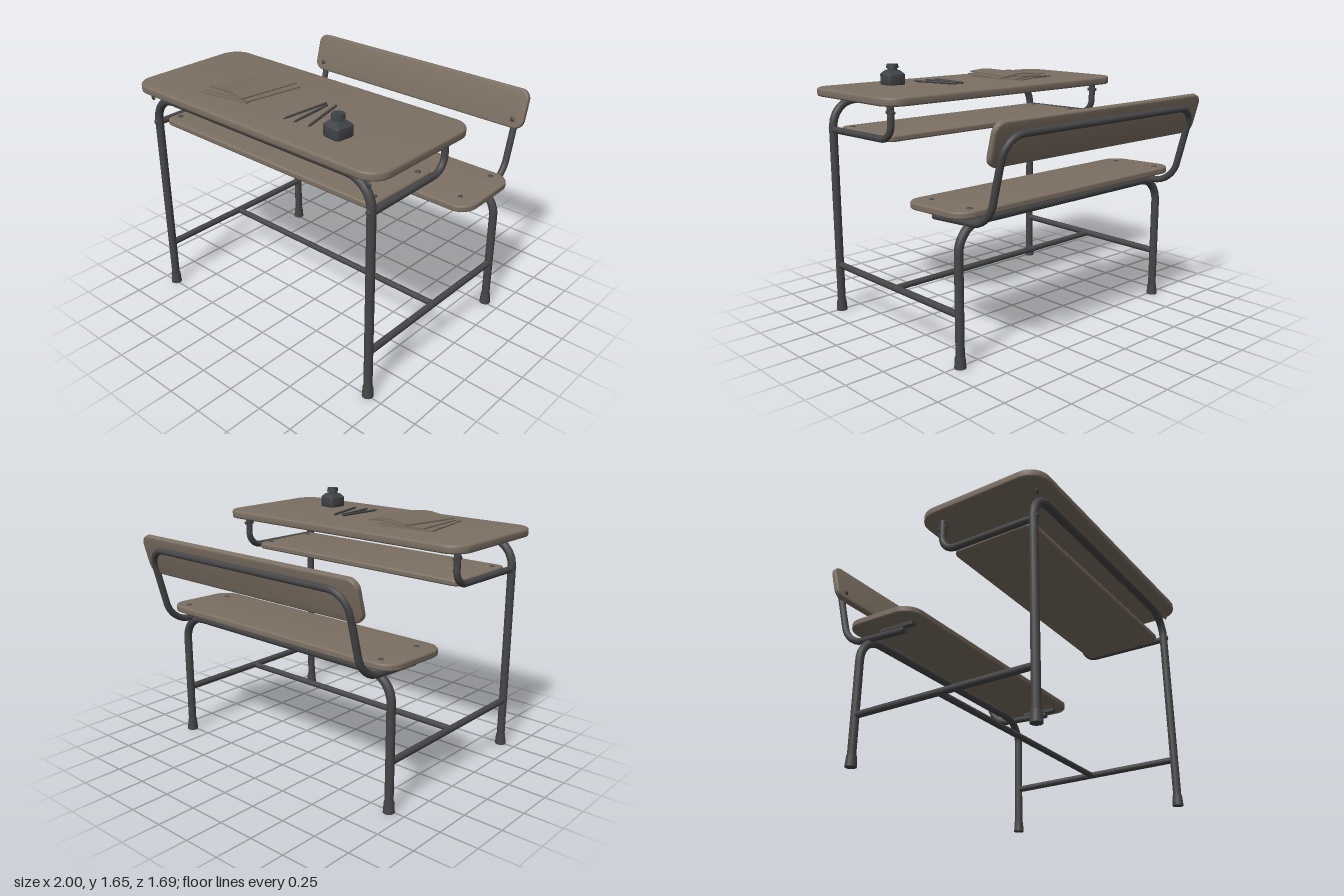
import * as THREE from 'three';
import { toCreasedNormals } from 'three/addons/utils/BufferGeometryUtils.js';

const V = (x, y, z) => new THREE.Vector3(x, y, z);

export function createModel() {
  const wood = new THREE.MeshStandardMaterial({ name: 'wood', color: 0x7d7063 });
  const metal = new THREE.MeshStandardMaterial({ name: 'dark metal', color: 0x464648 });
  const paper = new THREE.MeshStandardMaterial({ name: 'paper', color: 0x786d60 });
  const ink = new THREE.MeshStandardMaterial({ name: 'ink glass', color: 0x404346 });

  const root = new THREE.Group();
  root.name = 'schoolDesk';

  const add = (name, geometry, material, x = 0, y = 0, z = 0, parent = root) => {
    const mesh = new THREE.Mesh(geometry, material);
    mesh.name = name;
    mesh.position.set(x, y, z);
    parent.add(mesh);
    return mesh;
  };

  // Horizontal board with rounded corners and softened edges, centred on its origin
  const board = (w, d, t, r, bevel = 0.012) => {
    const a = w / 2 - bevel, b = d / 2 - bevel, c = r - bevel;
    const s = new THREE.Shape();
    s.moveTo(-a + c, -b);
    s.lineTo(a - c, -b);
    s.absarc(a - c, -b + c, c, -Math.PI / 2, 0);
    s.absarc(a - c, b - c, c, 0, Math.PI / 2);
    s.absarc(-a + c, b - c, c, Math.PI / 2, Math.PI);
    s.absarc(-a + c, -b + c, c, Math.PI, Math.PI * 1.5);
    const g = new THREE.ExtrudeGeometry(s, {
      depth: t - 2 * bevel, bevelEnabled: true, bevelSize: bevel,
      bevelThickness: bevel, bevelSegments: 3, curveSegments: 8,
    });
    g.translate(0, 0, bevel - t / 2).rotateX(-Math.PI / 2);
    return toCreasedNormals(g, 0.6);
  };

  // Bent pipe: straight runs joined by rounded bends, with closed ends
  const pipe = (name, pts, radius, bend) => {
    const group = new THREE.Group();
    group.name = name;
    const path = new THREE.CurvePath();
    let from = pts[0];
    for (let i = 1; i < pts.length - 1; i++) {
      const p = pts[i];
      const a = p.clone().add(pts[i - 1].clone().sub(p).setLength(bend));
      const b = p.clone().add(pts[i + 1].clone().sub(p).setLength(bend));
      const k = 0.55;
      path.add(new THREE.LineCurve3(from, a));
      path.add(new THREE.CubicBezierCurve3(a, a.clone().lerp(p, k), b.clone().lerp(p, k), b));
      from = b;
    }
    const last = pts[pts.length - 1];
    path.add(new THREE.LineCurve3(from, last));
    const steps = pts.length > 2 ? 100 : 1;
    add(name + 'Tube', new THREE.TubeGeometry(path, steps, radius, 14), metal, 0, 0, 0, group);
    [[pts[0], pts[1]], [last, pts[pts.length - 2]]].forEach(([end, next]) => {
      const cap = add(name + 'End', new THREE.CircleGeometry(radius, 14), metal, end.x, end.y, end.z, group);
      cap.quaternion.setFromUnitVectors(V(0, 0, 1), end.clone().sub(next).normalize());
    });
    root.add(group);
  };

  const bolt = (name, x, y, z, rx = 0, rz = 0) => {
    const g = new THREE.SphereGeometry(0.018, 12, 5, 0, Math.PI * 2, 0, Math.PI / 2).scale(1, 0.5, 1);
    add(name, g, metal, x, y, z).rotation.set(rx, 0, rz);
  };

  const legX = 0.897, frontZ = 0.745, rearZ = -0.515;

  // Boards
  add('desktop', board(2, 0.88, 0.053, 0.13), wood, 0, 1.494, 0.4);
  add('shelf', board(1.74, 0.56, 0.04, 0.05), wood, 0, 1.246, 0.435);
  add('seat', board(1.92, 0.53, 0.044, 0.12), wood, 0, 0.916, -0.345).rotation.x = 0.03;
  const leanAngle = 0.265;
  add('backrest', board(1.81, 0.265, 0.04, 0.065), wood, 0, 1.34, -0.795)
    .rotation.x = Math.PI / 2 - leanAngle;

  // Front and rear leg frames
  [['frontFrame', frontZ, 1.428, 0.17], ['rearFrame', rearZ, 0.858, 0.17]].forEach(([name, z, top, bend]) =>
    pipe(name, [V(-legX, 0.01, z), V(-legX, top, z), V(legX, top, z), V(legX, 0.01, z)], 0.027, bend));

  // Inverted U that carries the backrest
  const bx = 0.83;
  const side = (s) => [V(s * bx, 0.84, -0.22), V(s * bx, 0.868, -0.695), V(s * bx, 1.385, -0.832)];
  pipe('backrestSupport', [...side(-1), ...side(1).reverse()], 0.022, 0.13);

  // Parts mirrored left and right
  for (const s of [-1, 1]) {
    const x = s * legX;
    for (const z of [frontZ, rearZ]) {
      add('footCap', new THREE.CylinderGeometry(0.031, 0.036, 0.07, 16), metal, x, 0.035, z);
    }
    pipe('sideStretcher', [V(x, 0.322, frontZ), V(x, 0.322, rearZ)], 0.022, 0);
    pipe('shelfBracket', [V(x, 1.243, frontZ), V(x, 1.25, 0.096), V(x, 1.475, 0.096)], 0.022, 0.1);
    add('seatMount', new THREE.BoxGeometry(0.035, 0.024, 0.26), metal, s * bx, 0.874, -0.28).rotation.x = 0.05;

    // Fasteners
    bolt('seatBolt', s * 0.835, 0.932, -0.2);
    bolt('seatBolt', s * 0.835, 0.943, -0.54);
    bolt('shelfBolt', s * 0.82, 1.266, 0.24);
    bolt('shelfBolt', s * 0.82, 1.266, 0.63);
    bolt('backrestBolt', s * bx, 1.274, -0.757, Math.PI / 2 - leanAngle);
    for (const y of [1.25, 1.42]) {
      bolt('legBolt', x, y, frontZ + 0.026, Math.PI / 2);
    }
    const pin = add('bracketPin', new THREE.CylinderGeometry(0.012, 0.012, 0.07, 10), metal, x, 1.42, 0.096);
    pin.rotation.x = Math.PI / 2;
  }
  pipe('crossStretcher', [V(-legX, 0.318, 0.115), V(legX, 0.318, 0.115)], 0.02, 0);

  // Loose sheets, bent by a soft wave
  const sheet = (name, w, d, x, y, z, turn, curl) => {
    const g = new THREE.BoxGeometry(w, 0.008, d, 16, 1, 8);
    const p = g.attributes.position;
    for (let i = 0; i < p.count; i++) {
      const u = p.getX(i) / w, v = p.getZ(i) / d;
      p.setY(i, p.getY(i) + curl * (Math.sin(u * 6 + 0.8) + u * v * 2));
    }
    g.computeVertexNormals();
    add(name, g, paper, x, y, z).rotation.y = turn;
  };
  sheet('bottomSheet', 0.36, 0.44, -0.4, 1.526, 0.43, 0.17, 0.002);
  sheet('middleSheet', 0.34, 0.42, -0.37, 1.536, 0.42, 0.08, 0.004);
  sheet('rightSheet', 0.34, 0.4, -0.3, 1.546, 0.41, -0.13, 0.005);
  sheet('topSheet', 0.34, 0.42, -0.34, 1.56, 0.415, -0.1, 0.008);

  // Pencils, each given by its two ends
  [[0.17, 0.3, 0.145, 0.64], [0.195, 0.32, 0.225, 0.64], [0.24, 0.29, 0.33, 0.63]].forEach(([x1, z1, x2, z2]) => {
    const dir = V(x2 - x1, 0, z2 - z1);
    const len = dir.length();
    const profile = [[0, 0], [0.008, 0], [0.008, len - 0.03], [0, len]].map(([a, b]) => new THREE.Vector2(a, b));
    const pencil = add('pencil', toCreasedNormals(new THREE.LatheGeometry(profile, 6), 0.3), metal, x1, 1.528, z1);
    pencil.quaternion.setFromUnitVectors(V(0, 1, 0), dir.normalize());
  });

  // Ink bottle: square body, sloped shoulder, neck and stopper
  const bottle = new THREE.Group();
  bottle.name = 'inkBottle';
  bottle.position.set(0.525, 1.52, 0.59);
  bottle.rotation.y = -0.12;
  root.add(bottle);
  add('bottleBody', board(0.132, 0.132, 0.075, 0.025, 0.008), ink, 0, 0.0375, 0, bottle);
  const shoulder = new THREE.CylinderGeometry(0.05, 0.08, 0.022, 4).rotateY(Math.PI / 4).toNonIndexed();
  shoulder.computeVertexNormals();
  add('bottleShoulder', shoulder, ink, 0, 0.085, 0, bottle);
  add('bottleNeck', new THREE.CylinderGeometry(0.032, 0.032, 0.025, 16), ink, 0, 0.104, 0, bottle);
  add('bottleStopper', new THREE.CylinderGeometry(0.038, 0.041, 0.026, 16), ink, 0, 0.122, 0, bottle);

  return root;
}
